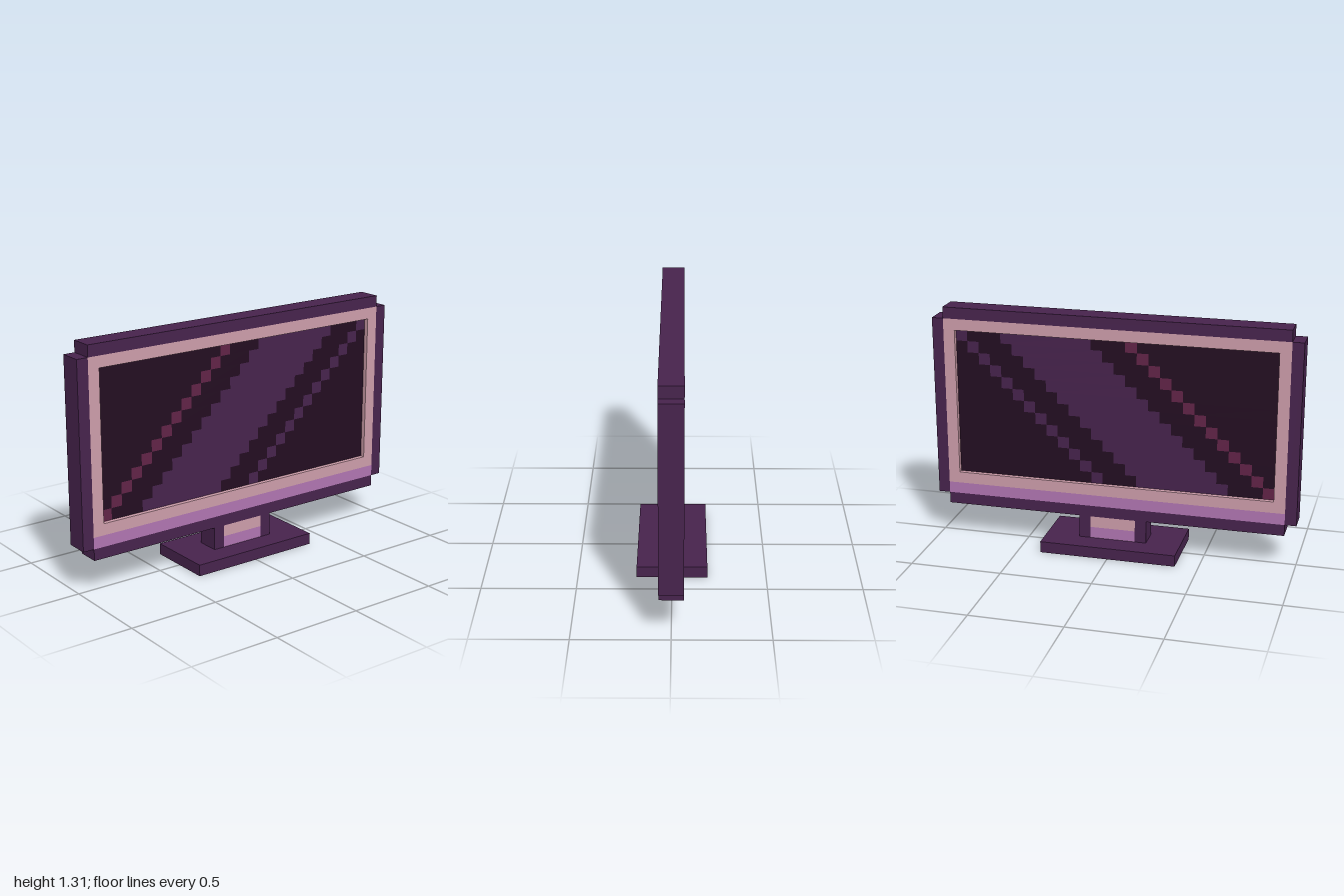
import * as THREE from 'three';
import { mergeGeometries } from 'three/addons/utils/BufferGeometryUtils.js';

const U = 0.0625; // one grid cell
const material = (name, color) => {
  const m = new THREE.MeshStandardMaterial({ color });
  m.name = name;
  return m;
};

export function createModel() {
  const casing = material('dark purple', 0x47234d);
  const pink = material('dusty pink', 0xcd9daa);
  const lilac = material('lilac', 0xb075b1);
  const black = material('screen black', 0x230d21);
  const red = material('wine red', 0x612347);

  const model = new THREE.Group();
  model.name = 'monitor';

  // Box given by its x and y ranges and its depth, all in cells, centred on z = 0
  const boxGeometry = (x0, x1, y0, y1, depth) =>
    new THREE.BoxGeometry((x1 - x0) * U, (y1 - y0) * U, depth * U)
      .translate((x0 + x1) * U / 2, (y0 + y1) * U / 2, 0);
  const add = (name, geometry, mat) => {
    const mesh = new THREE.Mesh(geometry, mat);
    mesh.name = name;
    model.add(mesh);
  };
  const addBox = (name, mat, ...range) => add(name, boxGeometry(...range), mat);

  // Stand
  addBox('base', casing, -6, 6, 0, 1, 6);
  addBox('neckPanelLower', lilac, -2, 2, 1, 2, 2);
  addBox('neckPanelUpper', pink, -2, 2, 2, 3, 2);
  addBox('neckPostRight', casing, -3, -2, 1, 3, 2);
  addBox('neckPostLeft', casing, 2, 3, 1, 3, 2);

  // Outer casing with notched corners
  addBox('casingBottom', casing, -15, 15, 3, 4, 2);
  addBox('casingTop', casing, -15, 15, 20, 21, 2);
  addBox('casingRight', casing, -16, -15, 4, 20, 2);
  addBox('casingLeft', casing, 15, 16, 4, 20, 2);

  // Bezel around the screen opening, with a lilac strip below
  addBox('bezelStrip', lilac, -15, 15, 4, 5, 2);
  const rectangle = (shape, x0, x1, y0, y1) =>
    shape.moveTo(x0 * U, y0 * U).lineTo(x1 * U, y0 * U)
      .lineTo(x1 * U, y1 * U).lineTo(x0 * U, y1 * U).closePath();
  const bezel = rectangle(new THREE.Shape(), -15, 15, 5, 20);
  bezel.holes.push(rectangle(new THREE.Path(), -14, 14, 6, 19));
  add('bezel', new THREE.ExtrudeGeometry(bezel, { depth: 2 * U, bevelEnabled: false })
    .translate(0, 0, -U), pink);

  // Recessed screen: diagonal bands that step one cell per row, the same on both sides
  const COLUMNS = 28, ROWS = 13, SCREEN_DEPTH = 1.2;
  const addBand = (name, mat, start, end) => {
    const cells = [];
    for (let row = 0; row < ROWS; row++) {
      const a = Math.max(0, start + row), b = Math.min(COLUMNS, end + row);
      if (b > a) cells.push(boxGeometry(a - 14, b - 14, 6 + row, 7 + row, SCREEN_DEPTH));
    }
    add(name, mergeGeometries(cells), mat);
  };
  addBand('screenUpperCorner', black, -COLUMNS, 0);
  addBand('redGlint', red, 0, 1);
  addBand('screenGapWide', black, 1, 4);
  addBand('broadReflection', casing, 4, 12);
  addBand('screenGapNarrow', black, 12, 15);
  addBand('thinReflection', casing, 15, 16);
  addBand('screenLowerCorner', black, 16, COLUMNS);

  return model;
}
